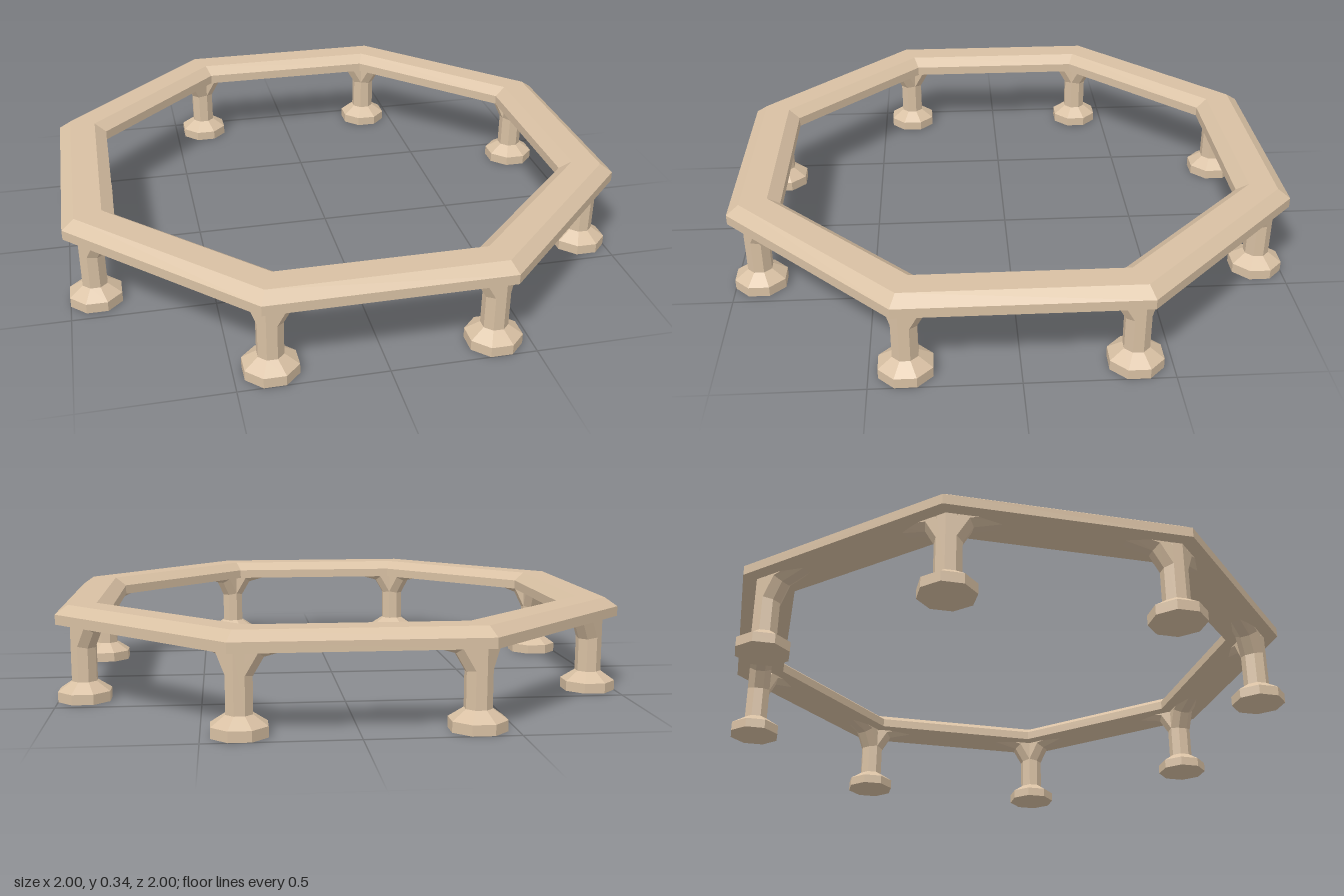
import * as THREE from 'three';

const STEP = Math.PI / 4;
const HALF = Math.PI / 8;
const CORNER = 1 / Math.cos(HALF); // flat distance to corner distance
const POST = 0.043;

// Eight-sided turned solid; profile gives [distance to flat, height]
function octagonal(profile) {
  const points = profile.map(([d, y]) => new THREE.Vector2(d * CORNER, y));
  return new THREE.LatheGeometry(points, 8, HALF).toNonIndexed();
}

// Octagonal arm bending from the post to the rail, running along local +x.
// Each section: underside x, underside y, tilt of the section
function armGeometry() {
  const sections = [[POST, 0.19, 0.26], [0.078, 0.25, 0.78], [0.2, 0.283, 1.3]];
  const positions = [];
  const index = [];
  for (const [x, y, tilt] of sections) {
    for (let j = 0; j < 8; j++) {
      const a = HALF + j * STEP;
      const n = POST * (1 + CORNER * Math.cos(a));
      positions.push(
        x - n * Math.cos(tilt),
        Math.min(y + n * Math.sin(tilt), 0.3), // top stays hidden in the rail
        POST * CORNER * Math.sin(a)
      );
    }
  }
  for (let i = 0; i < sections.length - 1; i++) {
    for (let j = 0; j < 8; j++) {
      const k = (j + 1) % 8;
      const a = i * 8 + j, b = i * 8 + k;
      index.push(a, b, b + 8, a, b + 8, a + 8);
    }
  }
  const geometry = new THREE.BufferGeometry();
  geometry.setAttribute('position', new THREE.Float32BufferAttribute(positions, 3));
  geometry.setIndex(index);
  geometry.computeVertexNormals();
  return geometry;
}

export function createModel() {
  const model = new THREE.Group();
  model.name = 'octagonalRailing';
  const stone = new THREE.MeshStandardMaterial({ color: 0xd8c0a3, flatShading: true });

  function add(parent, name, geometry) {
    const mesh = new THREE.Mesh(geometry, stone);
    mesh.name = name;
    parent.add(mesh);
    return mesh;
  }

  // Rail with bevelled top edges
  add(model, 'rail', octagonal([
    [0.82, 0.275], [1, 0.275], [1, 0.31], [0.957, 0.341],
    [0.862, 0.341], [0.82, 0.31], [0.82, 0.275]
  ]));

  // A post under every corner, with a foot and two arms along the rail
  const foot = octagonal([[0, 0], [0.09, 0], [0.09, 0.036], [POST, 0.07]]);
  const shaft = octagonal([[POST, 0.07], [POST, 0.28]]);
  const arm = armGeometry();
  const radius = 0.91 * CORNER;
  for (let i = 0; i < 8; i++) {
    const phi = HALF + i * STEP;
    const post = new THREE.Group();
    post.name = 'post';
    post.position.set(radius * Math.sin(phi), 0, radius * Math.cos(phi));
    add(post, 'foot', foot);
    add(post, 'shaft', shaft);
    add(post, 'leftArm', arm).rotation.y = phi + HALF;
    add(post, 'rightArm', arm).rotation.y = phi - Math.PI - HALF;
    model.add(post);
  }
  return model;
}
